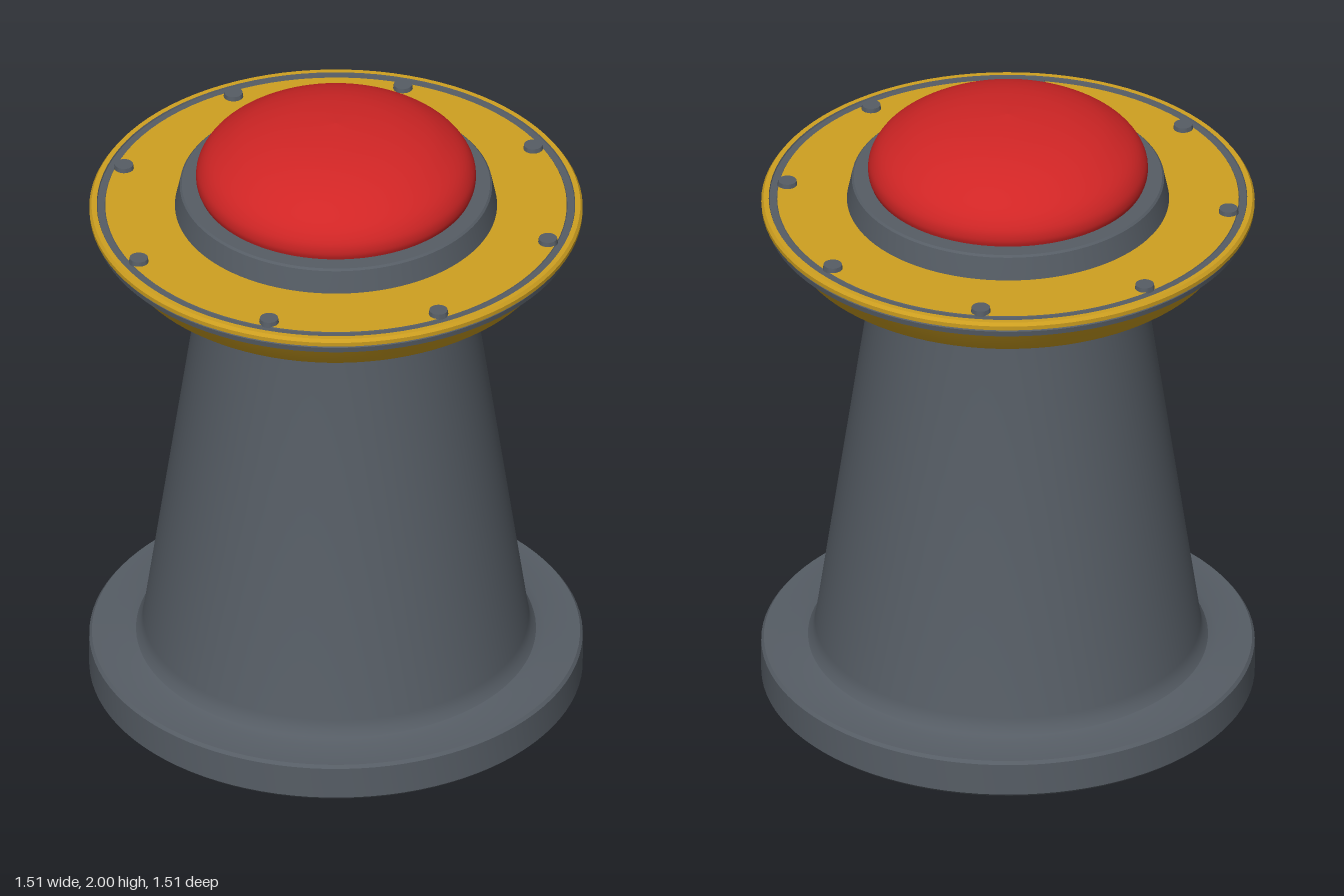
import * as THREE from 'three';
import { toCreasedNormals } from 'three/addons/utils/BufferGeometryUtils.js';

const makeMaterial = (name, color) => {
  const m = new THREE.MeshStandardMaterial({ color });
  m.name = name;
  return m;
};

export function createModel() {
  const group = new THREE.Group();
  const grey = makeMaterial('steel grey', 0x565d65);
  const yellow = makeMaterial('warning yellow', 0xcfa020);
  const red = makeMaterial('button red', 0xd02525);

  // Turned part from a [radius, height] profile, with crisp edges
  const turned = (name, profile, material) => {
    const points = profile.map(([r, y]) => new THREE.Vector2(r, y));
    const geometry = toCreasedNormals(new THREE.LatheGeometry(points, 96), 0.5);
    const mesh = new THREE.Mesh(geometry, material);
    mesh.name = name;
    group.add(mesh);
  };

  // Round foot and tapered column with a fillet between them
  turned('pedestal', [
    [0, 0], [0.58, 0], [0.6, 0.015], [0.745, 0.015], [0.755, 0.025],
    [0.755, 0.13], [0.747, 0.14], [0.64, 0.14], [0.612, 0.15],
    [0.597, 0.17], [0.59, 0.2], [0.402, 1.51], [0.402, 1.535],
  ], grey);

  // Flared yellow plate, its collar and sloping underside
  turned('plateUnderside', [
    [0.402, 1.528], [0.408, 1.54], [0.42, 1.55], [0.65, 1.55],
    [0.662, 1.56], [0.73, 1.648],
  ], yellow);
  turned('edgeBand', [[0.73, 1.648], [0.743, 1.65], [0.746, 1.668], [0.742, 1.673]], grey);
  turned('plateRim', [
    [0.742, 1.673], [0.754, 1.678], [0.755, 1.692], [0.748, 1.702], [0.732, 1.702],
  ], yellow);
  turned('topRing', [[0.732, 1.702], [0.73, 1.697], [0.708, 1.697], [0.706, 1.7]], grey);
  turned('plateTop', [[0.706, 1.7], [0.47, 1.7]], yellow);

  // Bezel around the button
  turned('bezel', [
    [0.493, 1.7], [0.49, 1.715], [0.478, 1.772], [0.472, 1.778], [0.4, 1.778],
  ], grey);

  // Domed button
  const domeCurve = new THREE.SplineCurve([
    [0.42, 1.775], [0.428, 1.8], [0.424, 1.835], [0.4, 1.875], [0.355, 1.912],
    [0.29, 1.948], [0.2, 1.977], [0.1, 1.993], [0, 2],
  ].map(([r, y]) => new THREE.Vector2(r, y)));
  const dome = new THREE.Mesh(new THREE.LatheGeometry(domeCurve.getPoints(40), 96), red);
  dome.name = 'buttonDome';
  group.add(dome);

  // Ring of eight bolt heads
  const boltGeometry = toCreasedNormals(new THREE.CylinderGeometry(0.028, 0.031, 0.02, 24), 0.6);
  for (let i = 0; i < 8; i++) {
    const angle = (i * Math.PI) / 4;
    const bolt = new THREE.Mesh(boltGeometry, grey);
    bolt.name = 'bolt';
    bolt.position.set(0.68 * Math.cos(angle), 1.704, 0.68 * Math.sin(angle));
    group.add(bolt);
  }

  return group;
}
